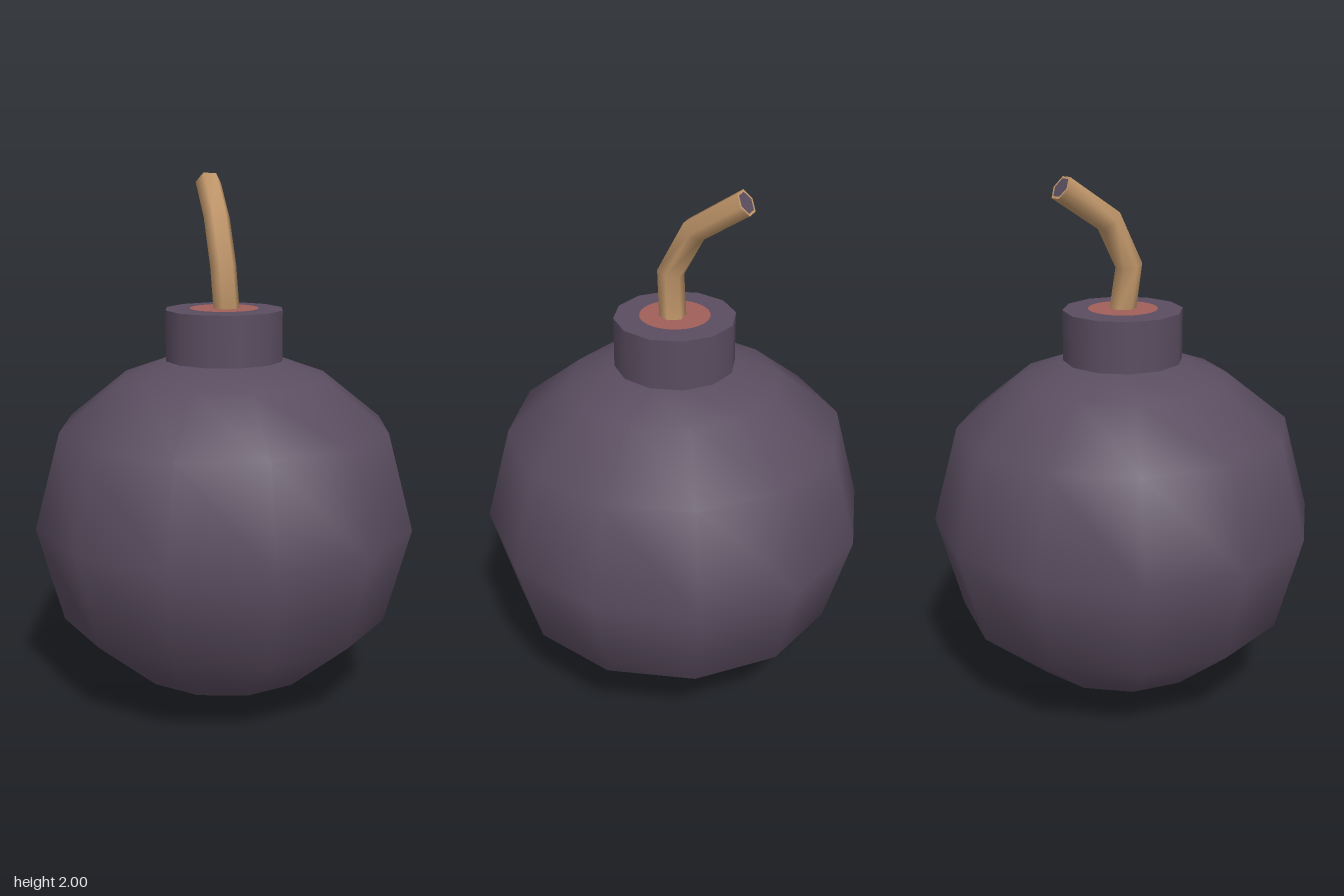
import * as THREE from 'three';

const shell = new THREE.MeshStandardMaterial({ color: 0x5a4d60 });
shell.name = 'darkPurple';
const red = new THREE.MeshStandardMaterial({ color: 0xa25f59 });
red.name = 'dullRed';
const rope = new THREE.MeshStandardMaterial({ color: 0xc0966a });
rope.name = 'ropeTan';

const SIDES = 6;
const FUSE_RADIUS = 0.05;

function addMesh(group, name, geometry, material) {
  const mesh = new THREE.Mesh(geometry, material);
  mesh.name = name;
  group.add(mesh);
  return mesh;
}

// Mitred tube: one ring of vertices at each bend of the path
function bentTube(path, radius, sides) {
  const positions = [], index = [];
  const side = new THREE.Vector3(), up = new THREE.Vector3();
  path.forEach((p, i) => {
    const before = path[Math.max(i - 1, 0)], after = path[Math.min(i + 1, path.length - 1)];
    const tangent = after.clone().sub(p).normalize().add(p.clone().sub(before).normalize()).normalize();
    side.set(0.87, 0, 0.5).addScaledVector(tangent, -tangent.dot(side)).normalize();
    up.crossVectors(tangent, side);
    for (let j = 0; j < sides; j++) {
      const a = (j / sides) * Math.PI * 2;
      const v = p.clone().addScaledVector(side, Math.cos(a) * radius).addScaledVector(up, Math.sin(a) * radius);
      positions.push(v.x, v.y, v.z);
      if (i === 0) continue;
      const k = (j + 1) % sides, lo = (i - 1) * sides, hi = i * sides;
      index.push(lo + j, lo + k, hi + k, lo + j, hi + k, hi + j);
    }
  });
  const geometry = new THREE.BufferGeometry();
  geometry.setAttribute('position', new THREE.Float32BufferAttribute(positions, 3));
  geometry.setIndex(index);
  geometry.computeVertexNormals();
  return geometry;
}

export function createModel() {
  const model = new THREE.Group();
  model.name = 'bomb';

  // Round body, flattened slightly into a shoulder below the neck
  const profile = [
    [0, 0], [0.365, 0.1], [0.632, 0.327], [0.73, 0.692],
    [0.632, 1.058], [0.395, 1.248], [0.215, 1.313], [0, 1.33],
  ].map(([r, y]) => new THREE.Vector2(r, y));
  addMesh(model, 'body', new THREE.LatheGeometry(profile, 12), shell);

  // Neck collar
  const neck = addMesh(model, 'neck', new THREE.CylinderGeometry(0.225, 0.225, 0.22, 12), shell);
  neck.position.y = 1.39;

  // Red disc around the fuse
  const disc = addMesh(model, 'neckDisc', new THREE.CircleGeometry(0.13, 32), red);
  disc.rotation.x = -Math.PI / 2;
  disc.position.y = 1.503;

  // Bent fuse
  const path = [
    [0.005, 1.49, 0.008], [-0.018, 1.662, 0.013], [0.026, 1.832, -0.066], [0.135, 1.96, -0.226],
  ].map((p) => new THREE.Vector3(...p));
  addMesh(model, 'fuse', bentTube(path, FUSE_RADIUS, SIDES), rope);

  // Fuse end: tan rim with a dark core, aligned to the last ring
  const tip = path[3];
  const direction = tip.clone().sub(path[2]).normalize();
  const side = new THREE.Vector3(0.87, 0, 0.5);
  side.addScaledVector(direction, -direction.dot(side)).normalize();
  const up = new THREE.Vector3().crossVectors(direction, side);
  const end = new THREE.Group();
  end.name = 'fuseEnd';
  end.quaternion.setFromRotationMatrix(new THREE.Matrix4().makeBasis(side, up, direction));
  end.position.copy(tip);
  addMesh(end, 'fuseRim', new THREE.RingGeometry(FUSE_RADIUS * 0.8, FUSE_RADIUS, SIDES), rope);
  addMesh(end, 'fuseCore', new THREE.CircleGeometry(FUSE_RADIUS * 0.8, SIDES), shell);
  model.add(end);

  return model;
}
